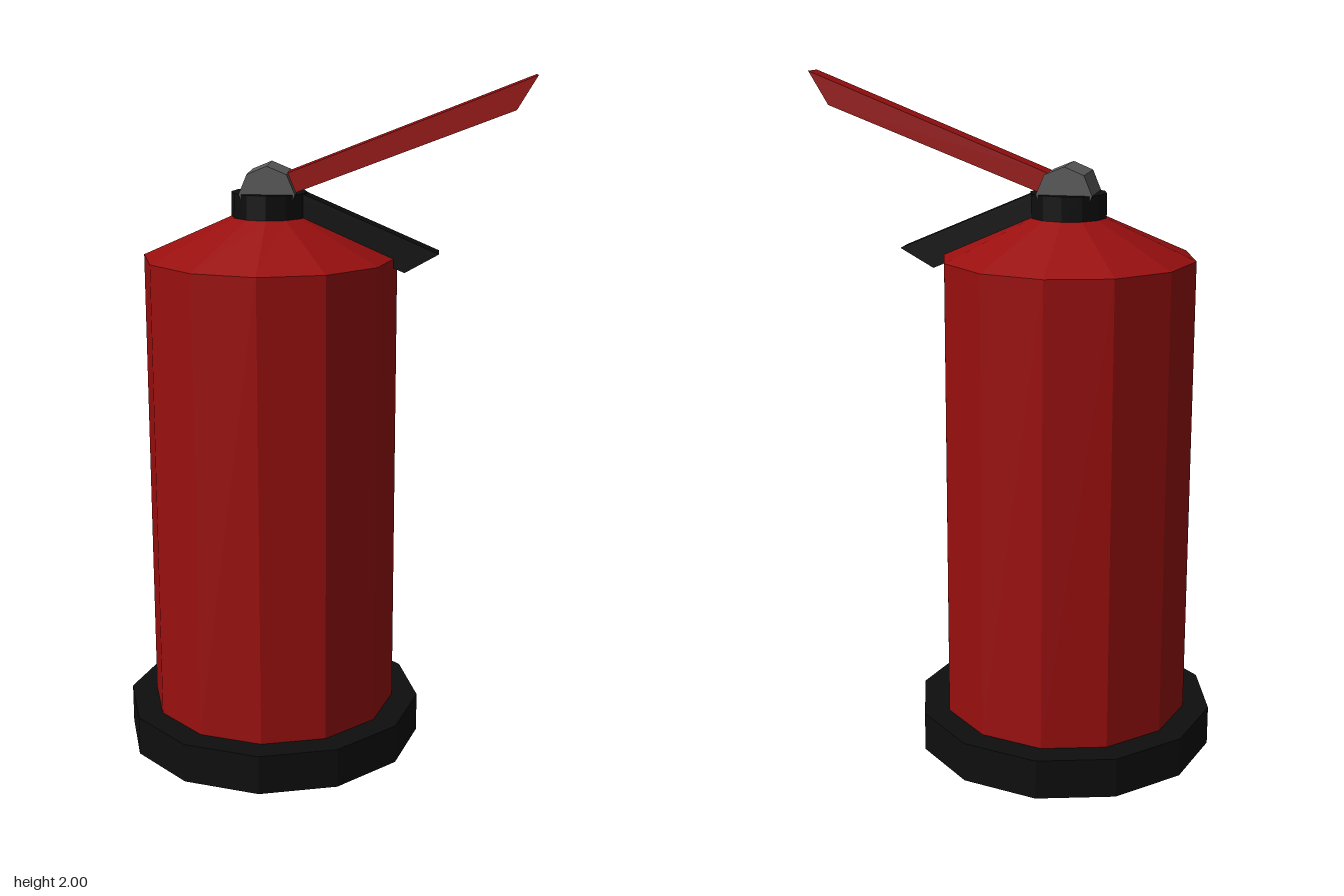
import * as THREE from 'three';

const AXIS_X = -0.155; // the bottle stands left of centre, the handle reaches right

function material(name, color) {
  const m = new THREE.MeshStandardMaterial({ color, flatShading: true });
  m.name = name;
  return m;
}

export function createModel() {
  const red = material('red paint', 0x9a0f0f);
  const black = material('black rubber', 0x0e0e0e);
  const grey = material('grey metal', 0x5a5a5a);
  const model = new THREE.Group();
  model.name = 'fireExtinguisher';

  const add = (name, geometry, mat) => {
    const mesh = new THREE.Mesh(geometry, mat);
    mesh.name = name;
    model.add(mesh);
    return mesh;
  };

  // Twelve-sided drum between two heights
  const drum = (name, mat, rTop, rBottom, y0, y1, open = false) =>
    add(name, new THREE.CylinderGeometry(rTop, rBottom, y1 - y0, 12, 1, open), mat)
      .position.set(AXIS_X, (y0 + y1) / 2, 0);

  // Side outline given a thickness centred on z = 0
  const bar = (name, mat, points, depth) => {
    const shape = new THREE.Shape(points.map(([x, y]) => new THREE.Vector2(x, y)));
    const geometry = new THREE.ExtrudeGeometry(shape, { depth, bevelEnabled: false });
    add(name, geometry.translate(0, 0, -depth / 2), mat);
  };

  // Bottle
  drum('base', black, 0.445, 0.445, 0, 0.118);
  drum('tank', red, 0.368, 0.368, 0.118, 1.485, true);
  drum('shoulder', red, 0.11, 0.368, 1.485, 1.6, true);
  drum('collar', black, 0.11, 0.11, 1.59, 1.67);

  // Octagonal valve lying across the collar
  const valve = new THREE.CylinderGeometry(0.08, 0.08, 0.154, 8).rotateX(Math.PI / 2);
  add('valve', valve, grey).position.set(AXIS_X, 1.67, 0);

  // Raised squeeze handle and lower carrying grip, both with slanted ends
  bar('squeezeHandle', red, [[-0.1, 1.727], [-0.076, 1.672], [0.54, 1.905], [0.597, 2]], 0.075);
  bar('carryGrip', black, [[-0.1, 1.668], [-0.1, 1.589], [0.235, 1.445], [0.333, 1.5], [-0.055, 1.668]], 0.075);

  return model;
}
